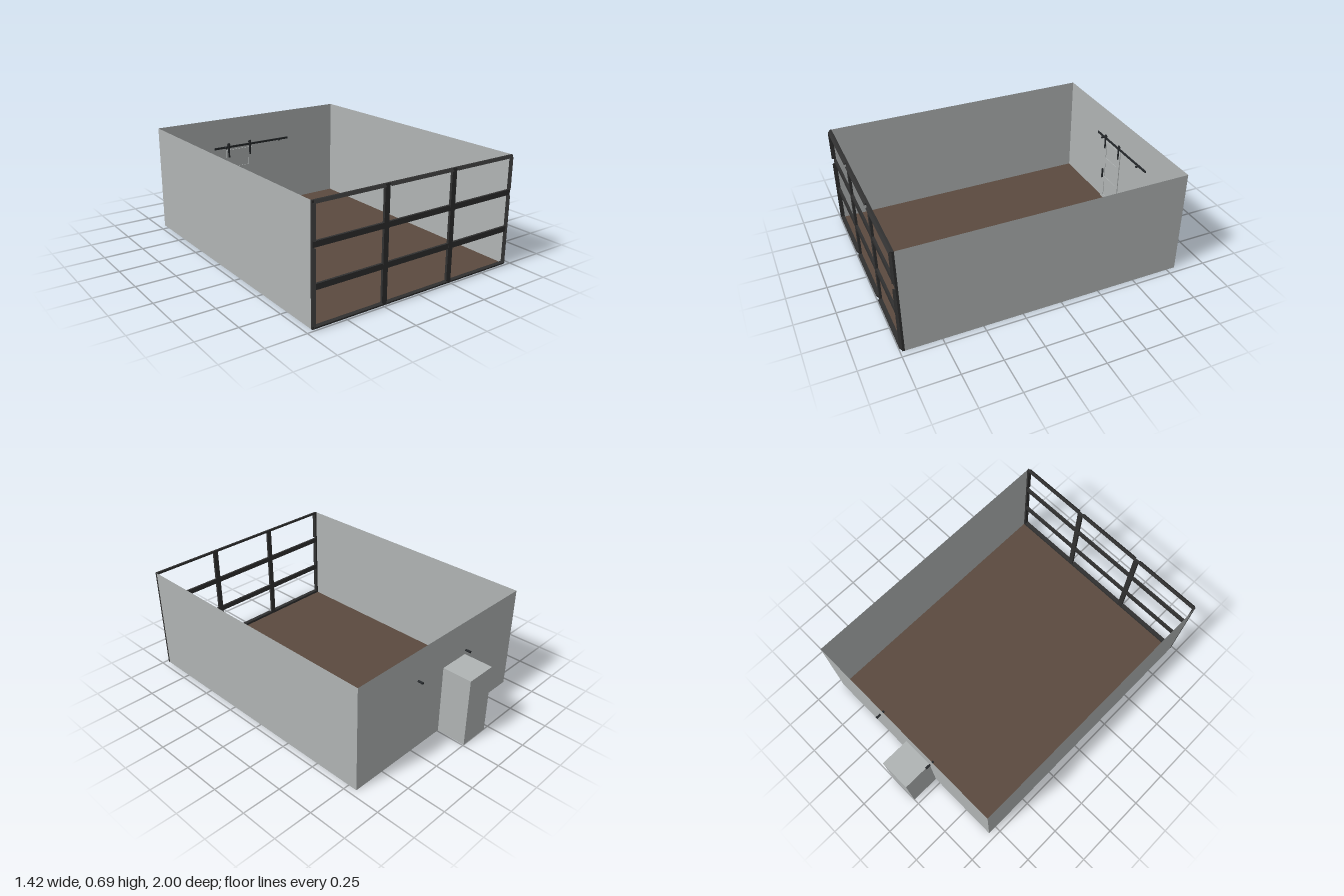
import * as THREE from 'three';

const W = 0.71, H = 0.69, BACK = -0.808, FRONT = 0.972;
const ALC = { x0: -0.213, x1: -0.008, h: 0.458, z: -1 };

export function createModel() {
  const model = new THREE.Group();
  model.name = 'showroom';
  const mat = (name, color, side = THREE.FrontSide) => {
    const m = new THREE.MeshStandardMaterial({ color, side });
    m.name = name;
    return m;
  };
  const wallMat = mat('wallGrey', 0xb0b4b4, THREE.DoubleSide);
  const floorMat = mat('floorBrown', 0x5b4a3f, THREE.DoubleSide);
  const frameMat = mat('frameBlack', 0x303030);
  const metalMat = mat('railMetal', 0x25282b);

  const add = (parent, name, geo, material, x = 0, y = 0, z = 0) => {
    const mesh = new THREE.Mesh(geo, material);
    mesh.name = name;
    mesh.position.set(x, y, z);
    parent.add(mesh);
    return mesh;
  };
  const group = (name) => {
    const g = new THREE.Group();
    g.name = name;
    model.add(g);
    return g;
  };
  // box given by its limits
  const box = (parent, name, material, x0, x1, y0, y1, z0, z1) =>
    add(parent, name, new THREE.BoxGeometry(x1 - x0, y1 - y0, z1 - z0), material,
      (x0 + x1) / 2, (y0 + y1) / 2, (z0 + z1) / 2);
  // thin sheets: vertical along z, and horizontal
  const sideSheet = (parent, name, x, h, z0, z1) => {
    const g = new THREE.PlaneGeometry(z1 - z0, h).rotateY(Math.sign(x) * Math.PI / 2);
    add(parent, name, g, wallMat, x, h / 2, (z0 + z1) / 2);
  };
  const flatSheet = (parent, name, material, x0, x1, y, z0, z1) =>
    add(parent, name, new THREE.PlaneGeometry(x1 - x0, z1 - z0).rotateX(-Math.PI / 2), material,
      (x0 + x1) / 2, y, (z0 + z1) / 2);
  const rect = (P, x0, x1, y0, y1) => {
    const p = new P();
    p.moveTo(x0, y0); p.lineTo(x1, y0); p.lineTo(x1, y1); p.lineTo(x0, y1); p.closePath();
    return p;
  };

  // room shell
  const room = group('room');
  flatSheet(room, 'floor', floorMat, -W, W, 0.001, BACK, FRONT + 0.01);
  for (const s of [-1, 1]) sideSheet(room, s < 0 ? 'rightWall' : 'leftWall', s * W, H, BACK, FRONT);
  const back = rect(THREE.Shape, -W, W, 0, H);
  back.holes.push(rect(THREE.Path, ALC.x0, ALC.x1, 0.0005, ALC.h));
  add(room, 'backWall', new THREE.ShapeGeometry(back), wallMat, 0, 0, BACK);

  // alcove behind the doorway
  const alcove = group('alcove');
  flatSheet(alcove, 'alcoveFloor', floorMat, ALC.x0, ALC.x1, 0.001, ALC.z, BACK);
  flatSheet(alcove, 'alcoveCeiling', wallMat, ALC.x0, ALC.x1, ALC.h, ALC.z, BACK);
  for (const x of [ALC.x0, ALC.x1]) sideSheet(alcove, 'alcoveSide', x, ALC.h, ALC.z, BACK);
  add(alcove, 'alcoveBack', new THREE.PlaneGeometry(ALC.x1 - ALC.x0, ALC.h), wallMat,
    (ALC.x0 + ALC.x1) / 2, ALC.h / 2, ALC.z);

  // front window grid: border, mullions and transoms
  const frame = group('windowFrame');
  const z0 = FRONT, z1 = 0.986, zf = 1;
  const side = 0.012, bottom = 0.018, top = 0.014;
  for (const s of [-1, 1]) {
    box(frame, 'jamb', frameMat, s * (W - side / 2) - side / 2, s * (W - side / 2) + side / 2, 0, H, z0, z1);
    box(frame, 'mullion', frameMat, s * 0.239 - 0.0165, s * 0.239 + 0.0165, 0.002, H - 0.002, z0, z1 + 0.001);
  }
  box(frame, 'sill', frameMat, -W, W, 0, bottom, z0, z1);
  box(frame, 'head', frameMat, -W, W, H - top, H, z0, z1);
  for (const [a, b] of [[0.215, 0.249], [0.445, 0.478]])
    box(frame, 'transom', frameMat, -W + 0.002, W - 0.002, a, b, z0, z1);

  // sloped trim on the border, broken where the bars meet it
  const trim = (width, length) => {
    const s = new THREE.Shape();
    s.moveTo(0, 0); s.lineTo(width, 0); s.lineTo(width, zf - z1); s.closePath();
    return new THREE.ExtrudeGeometry(s, { depth: length, bevelEnabled: false });
  };
  // the profile's x runs inwards, its y runs forwards, its depth runs along the bar
  const placeTrim = (inward, along, width, length, x, y) => {
    const fwd = new THREE.Vector3(0, 0, 1);
    const g = trim(width, length);
    g.applyMatrix4(new THREE.Matrix4().makeBasis(inward, fwd, along));
    add(frame, 'slopedTrim', g, frameMat, x, y, z1);
  };
  const V = (x, y) => new THREE.Vector3(x, y, 0);
  for (const [a, b] of [[-0.7, -0.256], [-0.222, 0.222], [0.256, 0.7]]) {
    placeTrim(V(0, 1), V(1, 0), bottom, b - a, a, 0);
    placeTrim(V(0, -1), V(-1, 0), top, b - a, b, H);
  }
  for (const [a, b] of [[0.018, 0.443], [0.48, 0.676]]) {
    placeTrim(V(1, 0), V(0, -1), side, b - a, -W, b);
    placeTrim(V(-1, 0), V(0, 1), side, b - a, W, a);
  }

  // sliding door with three sunken panels
  const door = group('slidingDoor');
  const dx0 = -0.213, dx1 = -0.004;
  const leaf = rect(THREE.Shape, dx0, dx1, 0.004, 0.462);
  for (const y of [0.03, 0.182, 0.335]) leaf.holes.push(rect(THREE.Path, -0.18, -0.036, y, y + 0.107));
  add(door, 'doorLeaf', new THREE.ExtrudeGeometry(leaf, { depth: 0.006, bevelEnabled: false }),
    wallMat, 0, 0, BACK + 0.002);
  add(door, 'doorPanels', new THREE.PlaneGeometry(dx1 - dx0 - 0.01, 0.44), wallMat,
    (dx0 + dx1) / 2, 0.235, BACK + 0.004);
  box(door, 'doorHandle', metalMat, -0.204, -0.194, 0.168, 0.238, BACK + 0.008, BACK + 0.018);

  // rail, wall bolts and roller hangers
  const rail = group('doorRail');
  box(rail, 'railBar', metalMat, -0.303, 0.303, 0.477, 0.491, BACK + 0.003, BACK + 0.01);
  for (const x of [-0.22, 0.22])
    add(rail, 'railBolt', new THREE.CylinderGeometry(0.007, 0.007, 0.062, 12).rotateX(Math.PI / 2),
      metalMat, x, 0.483, BACK - 0.003);
  for (const x of [-0.193, -0.021]) {
    box(rail, 'hangerStrap', metalMat, x - 0.006, x + 0.006, 0.408, 0.513, BACK + 0.009, BACK + 0.015);
    add(rail, 'hangerWheel', new THREE.CylinderGeometry(0.011, 0.011, 0.007, 16).rotateX(Math.PI / 2),
      metalMat, x, 0.501, BACK + 0.009);
  }
  return model;
}
